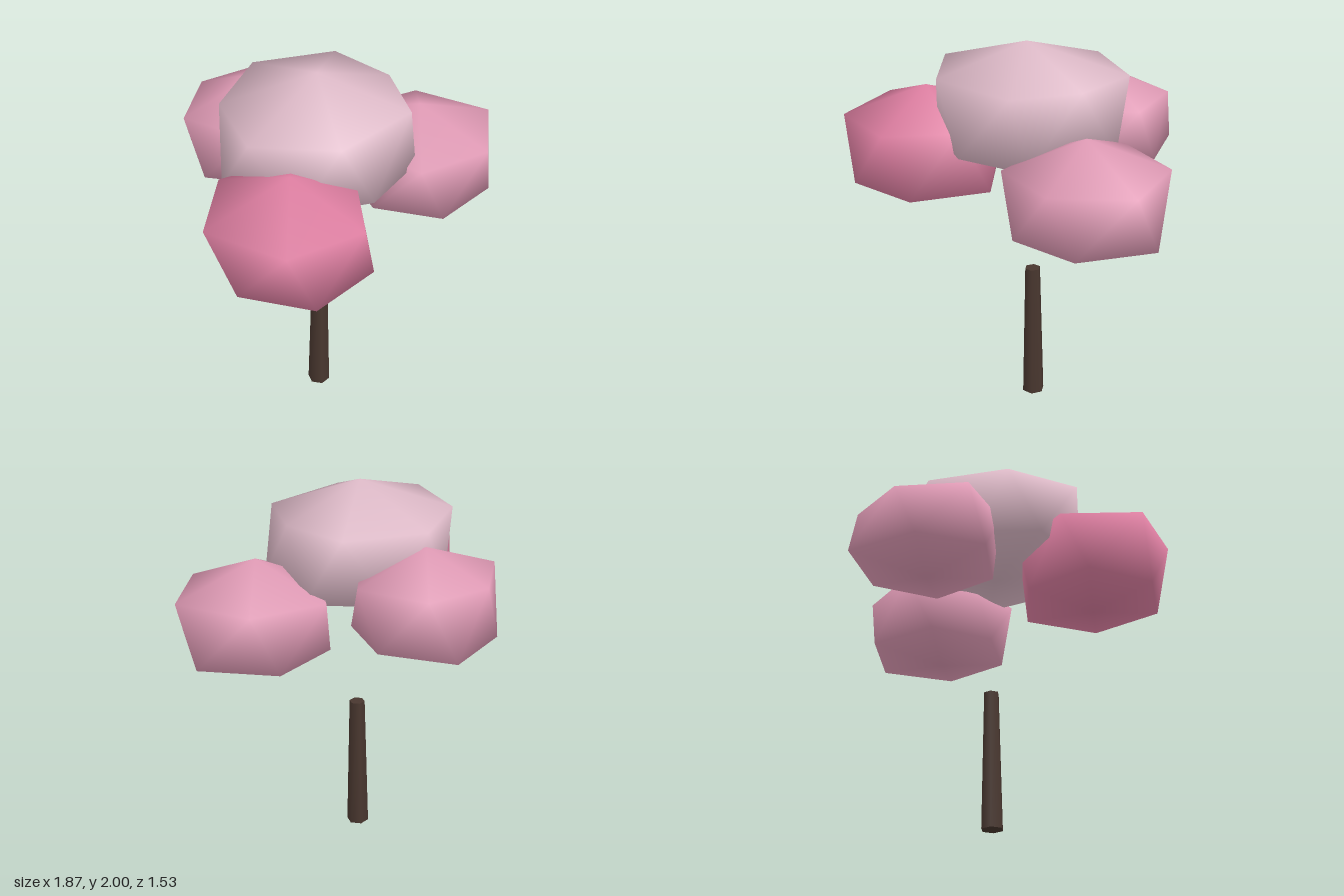
import * as THREE from 'three';

const mat = (name, color) => Object.assign(new THREE.MeshStandardMaterial({ color }), { name });

// Faceted crown: tip, upper ring, twisted lower ring, shallow base point.
// heights = [base, lower ring, upper ring, tip]; rings hold [angle in degrees, radius].
function crownGeometry([cx, cz], heights, lower, upper) {
  const n = lower.length;
  const pos = [];
  const ring = (pts, y) => pts.forEach(([deg, r]) => {
    const a = THREE.MathUtils.degToRad(deg);
    pos.push(cx + r * Math.cos(a), y, cz + r * Math.sin(a));
  });
  ring(lower, heights[1]);
  ring(upper, heights[2]);
  pos.push(cx, heights[0], cz, cx, heights[3], cz);
  const base = 2 * n, tip = 2 * n + 1, index = [];
  for (let i = 0; i < n; i++) {
    const j = (i + 1) % n;
    index.push(base, i, j, i, n + i, j, n + i, n + j, j, tip, n + j, n + i);
  }
  const g = new THREE.BufferGeometry();
  g.setAttribute('position', new THREE.Float32BufferAttribute(pos, 3));
  g.setIndex(index);
  g.computeVertexNormals();
  return g;
}

// Evenly spaced ring from a list of radii
const spaced = (start, radii) => radii.map((r, i) => [start + (i * 360) / radii.length, r]);

export function createModel() {
  const tree = new THREE.Group();
  tree.name = 'blossomTree';
  const bark = mat('bark', 0x49372f);
  const palePink = mat('palePink', 0xe0bcca);
  const softPink = mat('softPink', 0xe29cb7);
  const deepPink = mat('deepPink', 0xe080a3);

  const add = (name, geometry, material) => {
    const mesh = new THREE.Mesh(geometry, material);
    mesh.name = name;
    tree.add(mesh);
    return mesh;
  };

  // Tapered six-sided trunk
  const trunk = add('trunk', new THREE.CylinderGeometry(0.042, 0.06, 0.75, 6), bark);
  trunk.rotation.y = Math.PI / 2;
  trunk.position.set(-0.01, 0.375, 0.1);

  // Large top crown, seven-sided
  add('topCrown', crownGeometry([-0.04, 0.1], [1.415, 1.48, 1.84, 2],
    [[-8, 0.515], [50, 0.5], [100, 0.45], [149, 0.47], [205, 0.51], [248, 0.45], [300, 0.48]],
    [[13, 0.45], [61, 0.47], [124, 0.47], [176, 0.53], [225, 0.48], [278, 0.51], [329, 0.52]]), palePink);

  // Three smaller six-sided crowns around it
  const smallCrowns = [
    ['rightCrown', deepPink, [-0.51, 0.35], [1.18, 1.25, 1.58, 1.74],
      [0.43, 0.41, 0.4, 0.37, 0.39, 0.38], [0.36, 0.41, 0.43, 0.45, 0.41, 0.4]],
    ['leftCrown', softPink, [0.51, 0.32], [1.13, 1.2, 1.51, 1.67],
      [0.43, 0.39, 0.38, 0.355, 0.38, 0.41], [0.44, 0.4, 0.41, 0.35, 0.42, 0.41]],
    ['backCrown', softPink, [0.04, -0.4], [1.25, 1.32, 1.62, 1.77],
      [0.37, 0.38, 0.38, 0.39, 0.365, 0.43], [0.39, 0.37, 0.39, 0.41, 0.345, 0.37]],
  ];
  for (const [name, material, center, heights, lower, upper] of smallCrowns) {
    add(name, crownGeometry(center, heights, spaced(0, lower), spaced(20, upper)), material);
  }
  return tree;
}
